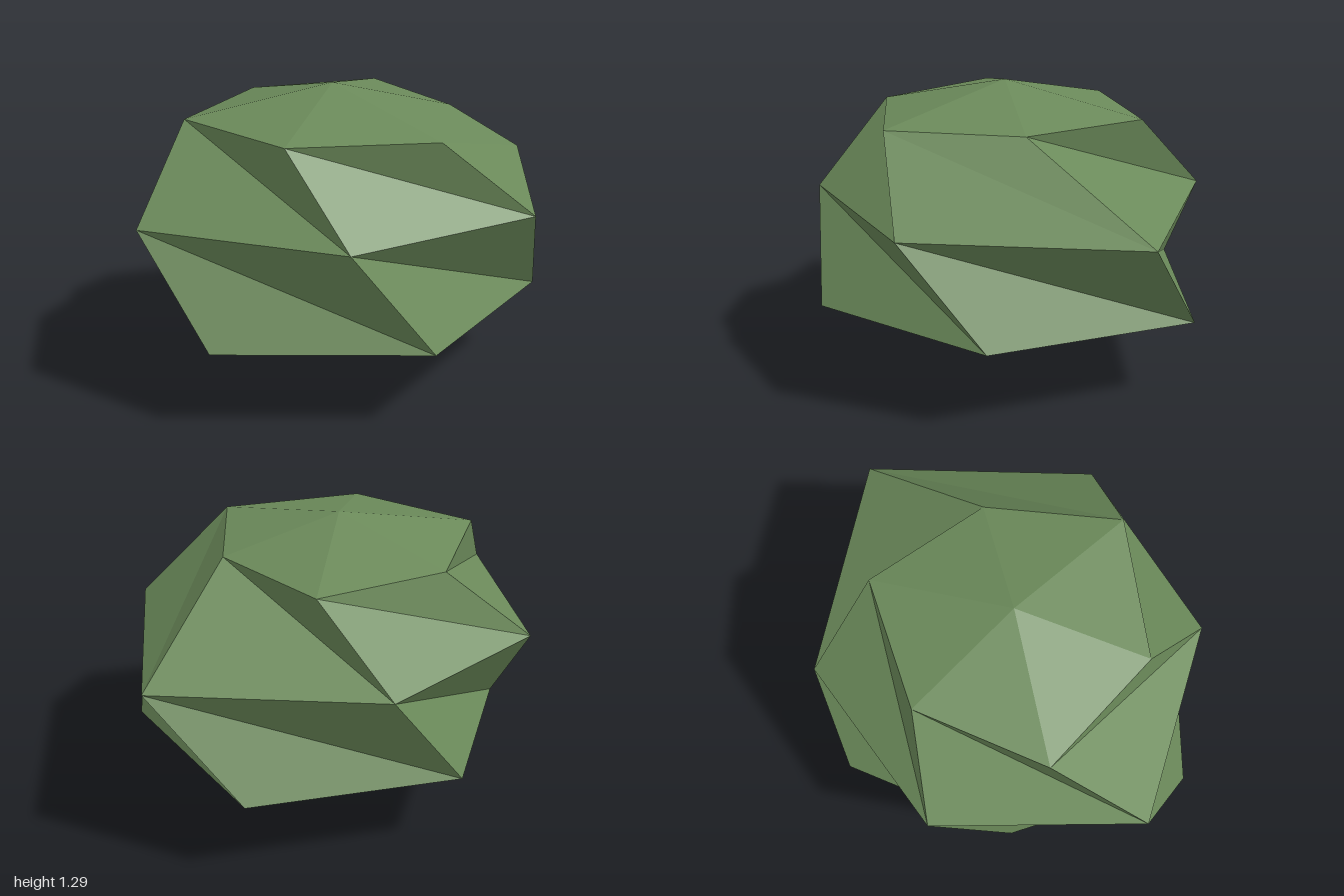
import * as THREE from 'three';

// Faceted boulder-like bush: three twisted six-sided rings closed by two poles
export function createModel() {
  const foliage = new THREE.MeshStandardMaterial({ color: 0x6b8a5a });
  foliage.name = 'mossGreen';
  foliage.flatShading = true;

  // Each ring: height and six [x, z] corners
  const rings = [
    { y: 0.36, pts: [[0.79, 0.41], [0.08, 0.98], [-0.61, 0.51], [-0.82, -0.27], [-0.15, -0.91], [0.69, -0.49]] },
    { y: 0.81, pts: [[0.56, 0.67], [-0.3, 0.995], [-0.875, 0.27], [-0.64, -0.56], [0.265, -1], [0.875, -0.17]] },
    { y: 1.16, pts: [[0.18, 0.62], [-0.44, 0.57], [-0.59, -0.02], [-0.26, -0.52], [0.3, -0.35], [0.62, 0.16]] },
  ].map(({ y, pts }) => pts.map(([x, z]) => [x, y, z]));
  const bottom = [-0.03, 0, 0.07];
  const top = [-0.03, 1.29, 0.07];
  const [low, , high] = rings;

  const positions = [];
  const tri = (a, b, c) => positions.push(...a, ...b, ...c);
  for (let k = 0; k < 6; k++) {
    const p = (k + 5) % 6;
    tri(bottom, low[p], low[k]);
    // Twisted bands between neighbouring rings
    for (let r = 0; r < 2; r++) {
      const a = rings[r], b = rings[r + 1];
      tri(a[k], a[p], b[k]);
      tri(a[p], b[p], b[k]);
    }
    tri(top, high[k], high[p]);
  }

  const geometry = new THREE.BufferGeometry();
  geometry.setAttribute('position', new THREE.Float32BufferAttribute(positions, 3));
  geometry.computeVertexNormals();

  const body = new THREE.Mesh(geometry, foliage);
  body.name = 'facetedBody';
  const group = new THREE.Group();
  group.name = 'facetedBush';
  group.add(body);
  return group;
}
